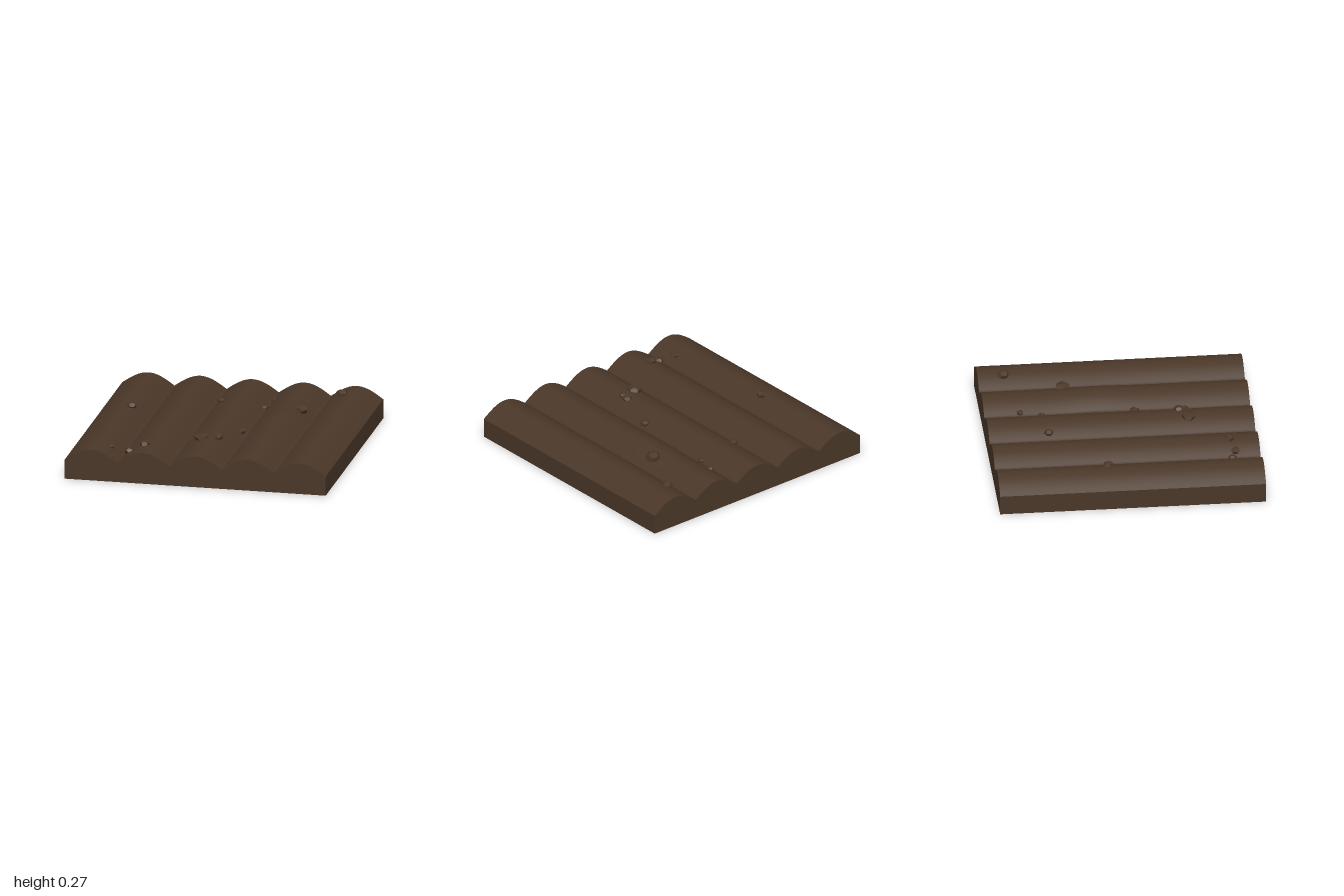
import * as THREE from 'three';

const soil = new THREE.MeshStandardMaterial({ color: 0x4a3728, side: THREE.DoubleSide });
soil.name = 'brown soil';

// Five rounded ridges running front to back, with sharp furrows between them
const ridge = (x) => 0.15 + 0.09 * Math.abs(Math.cos((Math.PI * x) / 0.4));
// A slight swell that leaves the border untouched
const height = (x, z) =>
  ridge(x) + 0.01 * Math.exp(-(((x - 0.38) / 0.22) ** 2) - ((z + 0.15) / 0.25) ** 2);

// Small seeded generator for the tumbling of the clods
function seeded(seed) {
  return () => (seed = (seed * 16807) % 2147483647) / 2147483647;
}

export function createModel() {
  const group = new THREE.Group();
  const add = (name, geometry) => {
    const mesh = new THREE.Mesh(geometry, soil);
    mesh.name = name;
    group.add(mesh);
    return mesh;
  };

  // Ploughed top surface
  const field = new THREE.PlaneGeometry(2, 2, 100, 40).rotateX(-Math.PI / 2);
  const p = field.attributes.position;
  for (let i = 0; i < p.count; i++) p.setY(i, height(p.getX(i), p.getZ(i)));
  field.computeVertexNormals();
  add('ploughedSurface', field);

  // Scalloped end walls; the bed is open underneath
  const profile = new THREE.Shape();
  profile.moveTo(-1, 0);
  profile.lineTo(1, 0);
  for (let i = 100; i >= 0; i--) profile.lineTo(-1 + i / 50, ridge(-1 + i / 50));
  add('frontWall', new THREE.ShapeGeometry(profile)).position.z = 1;
  const back = add('backWall', new THREE.ShapeGeometry(profile));
  back.rotation.y = Math.PI;
  back.position.z = -1;

  // Straight side walls
  for (const side of [-1, 1]) {
    const wall = add(side > 0 ? 'leftWall' : 'rightWall', new THREE.PlaneGeometry(2, 0.15));
    wall.rotation.y = (side * Math.PI) / 2;
    wall.position.set(side, 0.075, 0);
  }

  // Clods of earth half sunk in the ridges: x, z, radius
  const clods = [
    [-0.745, -0.16, 0.042], [-0.68, 0.78, 0.033], [-0.545, 0.815, 0.04], [-0.435, 0.775, 0.042],
    [-0.14, -0.55, 0.036], [-0.06, 0.51, 0.054], [0.065, 0.445, 0.04], [0.06, 0.49, 0.034],
    [0.16, 0.125, 0.038], [0.19, -0.57, 0.029], [0.225, -0.73, 0.029], [0.5, -0.38, 0.062],
    [0.725, -0.81, 0.048],
  ];
  const random = seeded(4711);
  for (const [x, z, r] of clods) {
    const clod = new THREE.DodecahedronGeometry(r, 0);
    clod.rotateX(random() * 3).rotateY(random() * 3).rotateZ(random() * 3);
    clod.scale(1, 0.65, 1);
    add('clod', clod).position.set(x, height(x, z) + 0.008, z);
  }
  return group;
}
